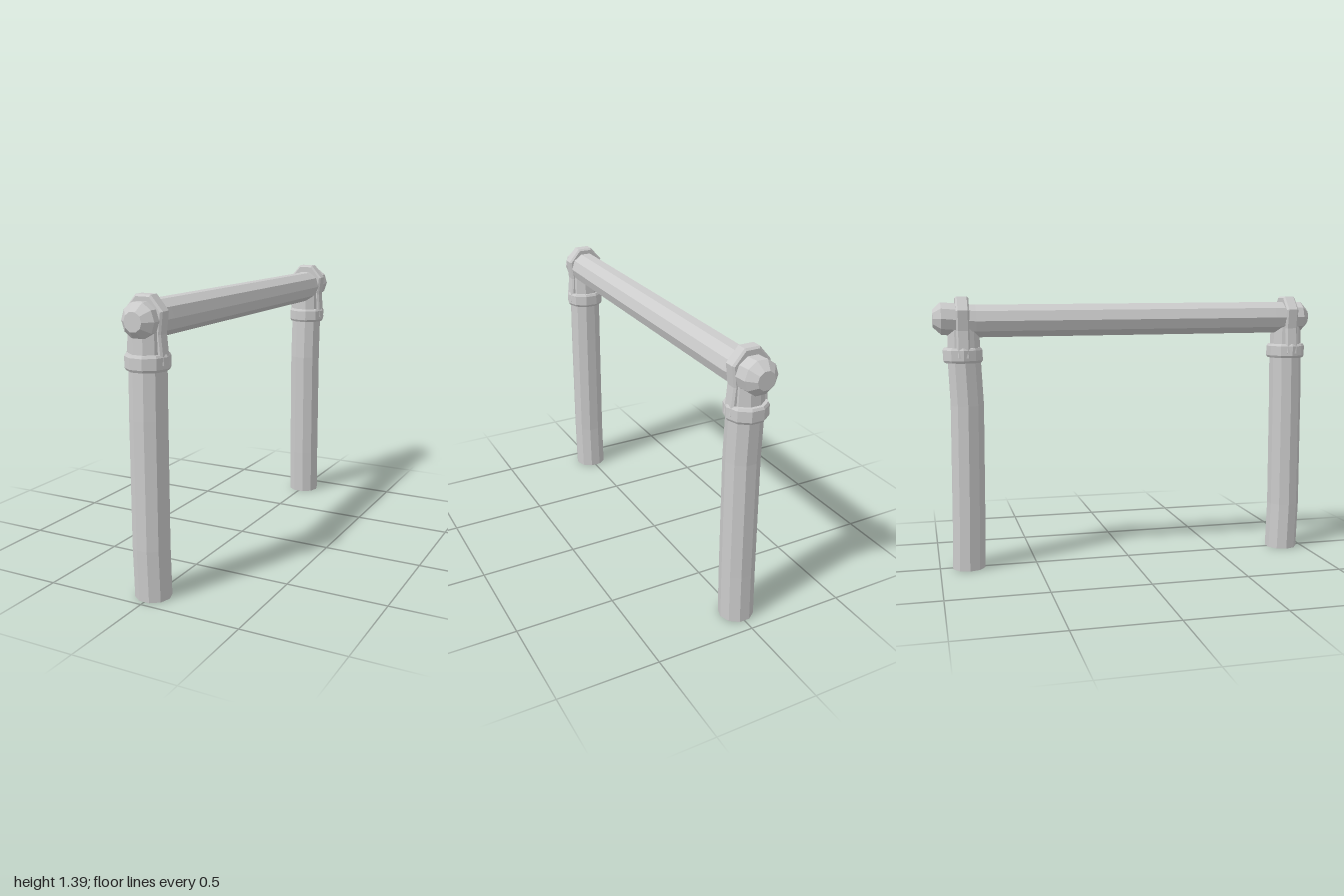
import * as THREE from 'three';

const SIDES = 10;
const material = new THREE.MeshStandardMaterial({ color: 0xcccccc, flatShading: true });

function addMesh(parent, name, geometry) {
  const mesh = new THREE.Mesh(geometry, material);
  mesh.name = name;
  parent.add(mesh);
  return mesh;
}

// Faceted bar along y from rings of [radius, height, sideways shift in z]
function bar(rings) {
  const profile = rings.map(([r, y]) => new THREE.Vector2(r, y));
  const geometry = new THREE.LatheGeometry(profile, SIDES, Math.PI / SIDES);
  const p = geometry.attributes.position;
  for (let i = 0; i < p.count; i++) {
    p.setZ(i, p.getZ(i) + rings[i % rings.length][2]);
  }
  geometry.computeVertexNormals();
  return geometry;
}

// Chamfered ring around the post
function collarGeometry() {
  return bar([
    [0.08, 1.065, 0], [0.095, 1.065, 0], [0.102, 1.077, 0],
    [0.102, 1.128, 0], [0.095, 1.14, 0], [0.07, 1.14, 0],
  ]);
}

// Waisted strap that wraps over the rail and runs down into the collar
function strapGeometry() {
  const half = [[0.098, 1.09], [0.085, 1.225], [0.097, 1.325], [0.038, 1.394]];
  const outline = [...half, ...half.map(([x, y]) => [-x, y]).reverse()];
  const shape = new THREE.Shape(outline.map(([x, y]) => new THREE.Vector2(x, y)));
  const bevel = 0.009, width = 0.066;
  const geometry = new THREE.ExtrudeGeometry(shape, {
    depth: width - 2 * bevel, bevelThickness: bevel, bevelSize: bevel,
    bevelOffset: -bevel, bevelSegments: 1,
  });
  return geometry.translate(0, 0, bevel - width / 2);
}

export function createModel() {
  const group = new THREE.Group();
  group.name = 'railing';

  // Slightly crooked posts, each with a collar and strap
  const posts = [
    { name: 'front', z: 0.889, bend: [0.89, 0.898, 0.894, 0.889] },
    { name: 'back', z: -0.856, bend: [-0.853, -0.847, -0.84, -0.85] },
  ];
  for (const { name, z, bend } of posts) {
    const support = new THREE.Group();
    support.name = name + 'Support';
    addMesh(support, name + 'Post', bar([
      [0, 0, bend[0]], [0.086, 0, bend[0]], [0.086, 0.25, bend[1]],
      [0.086, 0.85, bend[2]], [0.085, 1.1, bend[3]],
      [0.08, 1.265, bend[3]], [0, 1.265, bend[3]],
    ]));
    addMesh(support, name + 'Collar', collarGeometry()).position.z = z;
    addMesh(support, name + 'Strap', strapGeometry()).position.z = z;
    group.add(support);
  }

  // Top rail with chamfered ends, sagging a little towards the back
  const rail = bar([
    [0, -1, 0], [0.045, -1, 0], [0.084, -0.96, 0], [0.085, -0.79, 0.013],
    [0.086, 0.8, 0.002], [0.084, 0.96, 0], [0.045, 1, 0], [0, 1, 0],
  ]);
  rail.rotateX(Math.PI / 2);
  addMesh(group, 'topRail', rail).position.y = 1.285;

  return group;
}
